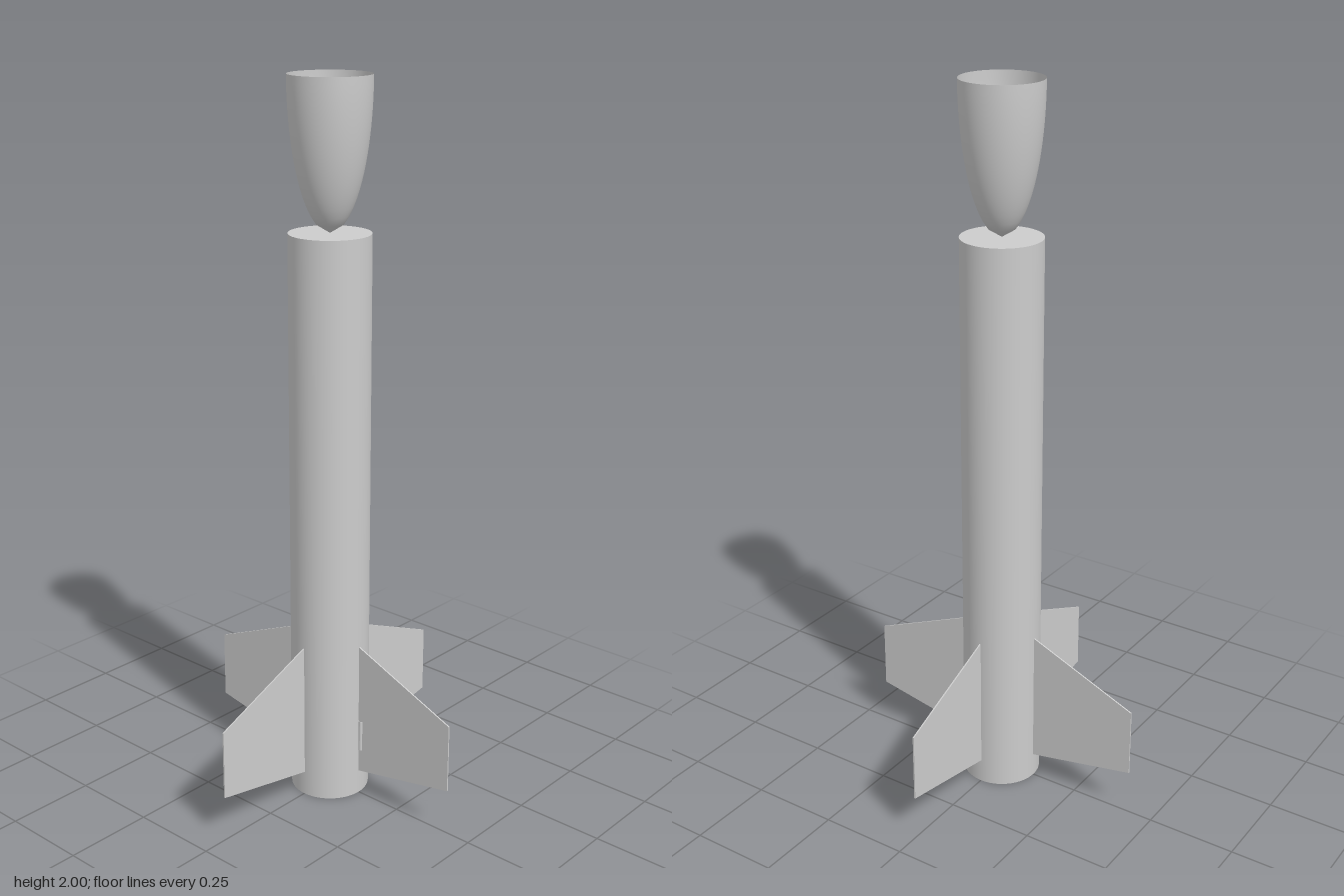
import * as THREE from 'three';

const R = 0.11;          // body radius
const BODY_H = 1.6;      // body tube height
const NOSE_H = 0.4;      // nose cone length
const SIDES = 64;

export function createModel() {
  const model = new THREE.Group();
  model.name = 'rocket';

  const grey = new THREE.MeshStandardMaterial({ color: 0xcccccc });
  grey.name = 'light grey';
  grey.side = THREE.DoubleSide;

  const add = (name, geometry, parent = model) => {
    const mesh = new THREE.Mesh(geometry, grey);
    mesh.name = name;
    parent.add(mesh);
    return mesh;
  };

  // Body: closed cylinder
  add('bodyTube', new THREE.CylinderGeometry(R, R, BODY_H, SIDES)).position.y = BODY_H / 2;

  // Nose: open elliptical shell, tip down on the body
  const nosePoints = [];
  const steps = 18;
  for (let i = 0; i <= steps; i++) {
    const t = i / steps;
    nosePoints.push(new THREE.Vector2(R * Math.sqrt(1 - (1 - t) ** 2), BODY_H + NOSE_H * t));
  }
  add('noseCone', new THREE.LatheGeometry(nosePoints, SIDES));

  // Fins: four thin swept plates around the base
  const thickness = 0.004;
  const finShape = new THREE.Shape([
    new THREE.Vector2(R - 0.002, 0.07),
    new THREE.Vector2(0.426, 0.13),
    new THREE.Vector2(0.426, 0.325),
    new THREE.Vector2(R - 0.002, 0.458),
  ]);
  const finGeometry = new THREE.ExtrudeGeometry(finShape, { depth: thickness, bevelEnabled: false });
  finGeometry.translate(0, 0, -thickness / 2);
  const fins = new THREE.Group();
  fins.name = 'fins';
  model.add(fins);
  for (let i = 0; i < 4; i++) {
    add('fin', finGeometry, fins).rotation.y = (i * Math.PI) / 2;
  }

  // Launch lug: small hollow tube beside the body
  const lugShape = new THREE.Shape().absarc(0, 0, 0.007, 0, Math.PI * 2);
  lugShape.holes.push(new THREE.Path().absarc(0, 0, 0.0055, 0, Math.PI * 2, true));
  const lugGeometry = new THREE.ExtrudeGeometry(lugShape, { depth: 0.09, bevelEnabled: false, curveSegments: 16 });
  lugGeometry.rotateX(-Math.PI / 2);
  add('launchLug', lugGeometry).position.set(R + 0.007, 0.14, 0);

  return model;
}
